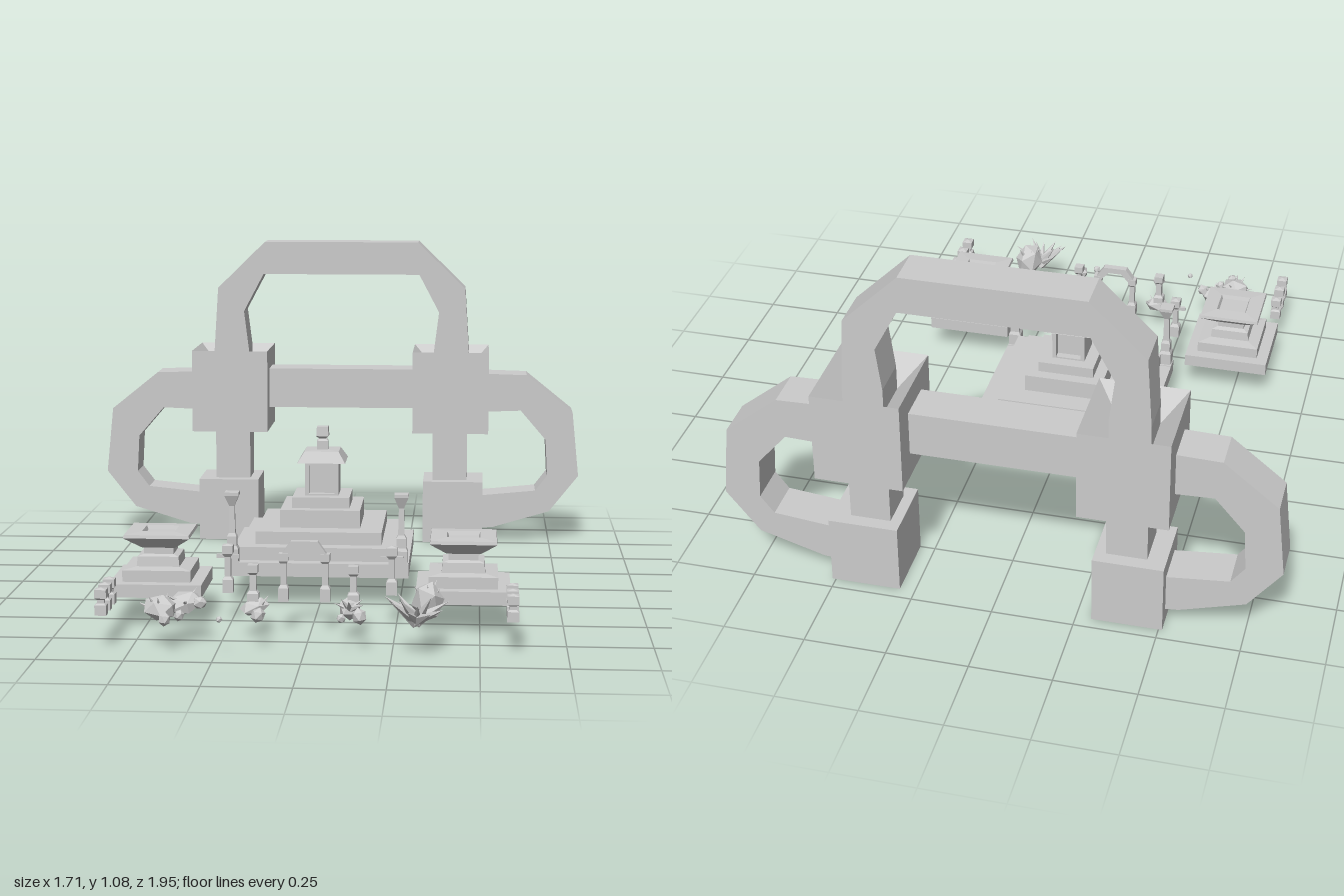
import * as THREE from 'three';

const mat = new THREE.MeshStandardMaterial({ color: 0xcccccc, flatShading: true, side: THREE.DoubleSide });

function add(parent, name, geo, x = 0, y = 0, z = 0) {
  const m = new THREE.Mesh(geo, mat);
  m.name = name;
  m.position.set(x, y, z);
  parent.add(m);
  return m;
}

// Square-plan solid from a profile of [half width, height], bottom to top
function square(profile) {
  const pts = profile.map(([h, y]) => new THREE.Vector2(h * Math.SQRT2, y));
  return new THREE.LatheGeometry(pts, 4, Math.PI / 4);
}

// Flat polygon extruded along z, centred on z = 0
function slab(points, depth, hole) {
  const shape = new THREE.Shape(points.map(p => new THREE.Vector2(...p)));
  if (hole) shape.holes.push(new THREE.Path(hole.map(p => new THREE.Vector2(...p))));
  return new THREE.ExtrudeGeometry(shape, { depth, bevelEnabled: false }).translate(0, 0, -depth / 2);
}

function box(x0, x1, y0, y1, depth) {
  return slab([[x0, y0], [x1, y0], [x1, y1], [x0, y1]], depth);
}

const mirrorX = pts => pts.map(([x, y]) => [-x, y]).reverse();

function randomizer(seed) {
  return () => (seed = (seed * 16807) % 2147483647) / 2147483647;
}

// Great gateway at the back
function gateway() {
  const g = new THREE.Group();
  g.name = 'gateway';
  g.position.z = -0.855;
  const loop = [[0.5, 0.046], [0.55, 0.05], [0.75, 0.11], [0.853, 0.24], [0.83, 0.47], [0.665, 0.603], [0.52, 0.607],
    [0.52, 0.47], [0.645, 0.475], [0.735, 0.37], [0.742, 0.24], [0.7, 0.185], [0.5, 0.165]];
  for (const s of [-1, 1]) {
    add(g, 'foot', square([[0, 0], [0.107, 0], [0.107, 0.22], [0, 0.22]]), s * 0.404, 0, 0);
    add(g, 'leg', box(-0.062, 0.062, 0.2, 0.42, 0.13), s * 0.392);
    // corner block with a sunken, sloping top
    add(g, 'cornerBlock', square([[0, 0.4], [0.135, 0.4], [0.135, 0.69], [0.06, 0.61], [0, 0.61]]), s * 0.394)
      .scale.z = 1.07;
    add(g, 'sideLoop', slab(s > 0 ? loop : mirrorX(loop), 0.13));
  }
  add(g, 'crossBeam', box(-0.27, 0.27, 0.48, 0.62, 0.13));
  const outer = [[0.457, 0.6], [0.457, 0.69], [0.443, 0.91], [0.274, 1.075]];
  const inner = [[0.279, 0.96], [0.35, 0.826], [0.333, 0.69], [0.333, 0.6]];
  add(g, 'topArch', slab([...outer, ...mirrorX(outer), ...mirrorX(inner), ...inner], 0.13));
  return g;
}

// Stepped shrine in the middle
function shrine() {
  const g = new THREE.Group();
  g.name = 'shrine';
  g.position.set(-0.01, 0, -0.01);
  add(g, 'steps', square([[0, 0.09], [0.288, 0.09], [0.288, 0.133], [0.25, 0.133], [0.25, 0.175], [0.2, 0.175],
    [0.2, 0.215], [0.128, 0.215], [0.128, 0.272], [0.092, 0.272], [0.092, 0.307], [0, 0.307]]));
  add(g, 'chamberFrame', slab([[-0.054, 0.3], [0.054, 0.3], [0.054, 0.42], [-0.054, 0.42]], 0.108,
    [[-0.041, 0.312], [-0.041, 0.405], [0.041, 0.405], [0.041, 0.312]]));
  add(g, 'chamberWall', box(-0.045, 0.045, 0.305, 0.41, 0.06));
  add(g, 'roof', square([[0, 0.415], [0.077, 0.415], [0.055, 0.45], [0.018, 0.452], [0.018, 0.48], [0.011, 0.487],
    [0.02, 0.495], [0.018, 0.525], [0, 0.525]]));
  // tall lamps on the front corners
  for (const s of [-1, 1]) {
    add(g, 'cornerLamp', square([[0, 0.13], [0.02, 0.13], [0.02, 0.175], [0.015, 0.185], [0.015, 0.215], [0.01, 0.225],
      [0.008, 0.31], [0.022, 0.345], [0.022, 0.355], [0, 0.355]]), s * 0.265, 0, 0.27);
    add(g, 'lampFoot', square([[0, 0.09], [0.022, 0.09], [0.022, 0.135], [0, 0.135]]), s * 0.265, 0, 0.265);
  }
  return g;
}

// Fire bowl on a stepped pedestal
function fireBowl(x, z) {
  const g = new THREE.Group();
  g.name = 'fireBowl';
  g.position.set(x, 0, z);
  add(g, 'pedestal', square([[0, 0.09], [0.14, 0.09], [0.14, 0.13], [0.103, 0.13], [0.103, 0.165], [0.065, 0.17],
    [0.062, 0.2], [0.045, 0.205], [0.045, 0.228], [0, 0.228]]));
  add(g, 'bowl', square([[0, 0.225], [0.05, 0.225], [0.1, 0.262], [0.098, 0.272], [0.05, 0.275], [0.045, 0.262], [0, 0.262]]));
  return g;
}

// Small freestanding arch
function smallArch() {
  const g = new THREE.Group();
  g.name = 'smallArch';
  g.position.set(-0.02, 0, 0.61);
  for (const s of [-1, 1]) {
    add(g, 'archPost', square([[0, 0.09], [0.015, 0.09], [0.015, 0.13], [0.009, 0.14], [0.009, 0.205], [0.014, 0.212],
      [0.014, 0.235], [0, 0.235]]), s * 0.062);
    const brace = [[0.05, 0.222], [0.075, 0.222], [0.04, 0.272], [0.02, 0.272], [0.02, 0.255]];
    add(g, 'archBrace', slab(s > 0 ? brace : mirrorX(brace), 0.024));
  }
  add(g, 'archTop', box(-0.03, 0.03, 0.252, 0.272, 0.024));
  return g;
}

// Faceted boulder
function boulder(parent, x, y, z, w, h, d, turn) {
  const m = add(parent, 'boulder', new THREE.IcosahedronGeometry(1, 0), x, y, z);
  m.scale.set(w, h, d);
  m.rotation.set(0.2, turn, 0.15);
}

// Fan of pointed crystals; len is the longest spike, lean the widest tilt
function crystals(x, y, z, count, len, lean, seed, heading = 0, sweep = Math.PI * 2) {
  const rnd = randomizer(seed);
  const g = new THREE.Group();
  g.name = 'crystals';
  g.position.set(x, y, z);
  for (let i = 0; i < count; i++) {
    const h = len * (0.65 + 0.35 * rnd());
    const geo = new THREE.ConeGeometry(h * 0.2, h, 5).translate(0, h * 0.45, 0);
    const spike = add(g, 'crystal', geo);
    const a = heading + sweep * ((i + 0.5) / count - 0.5);
    const tilt = lean * (0.45 + 0.55 * rnd());
    const dir = new THREE.Vector3(Math.sin(a) * Math.sin(tilt), Math.cos(tilt), Math.cos(a) * Math.sin(tilt));
    spike.quaternion.setFromUnitVectors(new THREE.Vector3(0, 1, 0), dir);
  }
  return g;
}

function rocks() {
  const g = new THREE.Group();
  g.name = 'rocks';
  // left-hand pile, right-hand pile and loose stones
  const stones = [
    [-0.36, 0.115, 0.76, 0.06, 0.03, 0.055, 0.4], [-0.42, 0.115, 0.83, 0.045, 0.035, 0.055, 1.1],
    [-0.31, 0.12, 0.78, 0.022, 0.02, 0.02, 0.2], [0.35, 0.14, 0.81, 0.05, 0.065, 0.045, 0.7],
    [-0.16, 0.09, 0.69, 0.048, 0.025, 0.036, 0.5], [0.12, 0.09, 0.69, 0.04, 0.035, 0.035, 1.6],
    [-0.135, 0.1, 0.84, 0.025, 0.022, 0.02, 0.9], [0.155, 0.1, 0.835, 0.026, 0.025, 0.022, 2.1],
    [0.105, 0.1, 0.865, 0.014, 0.015, 0.012, 0.3], [-0.24, 0.1, 0.9, 0.01, 0.01, 0.01, 0.6],
    [-0.395, 0.1, 0.91, 0.022, 0.02, 0.018, 1.3], [-0.36, 0.1, 0.86, 0.017, 0.018, 0.015, 0.8]];
  for (const s of stones) boulder(g, ...s);
  g.add(crystals(0.32, 0.1, 0.865, 11, 0.13, 1.35, 11, -0.3, 4));
  g.add(crystals(0.35, 0.13, 0.81, 5, 0.1, 0.8, 23));
  g.add(crystals(-0.42, 0.1, 0.83, 7, 0.075, 1.2, 37));
  g.add(crystals(-0.35, 0.11, 0.77, 5, 0.07, 1.2, 41));
  g.add(crystals(0.12, 0.09, 0.71, 5, 0.08, 1.2, 53, 0, 4));
  g.add(crystals(-0.15, 0.08, 0.69, 4, 0.06, 1.2, 61));
  // short posts standing on the two middle rocks
  for (const x of [-0.165, 0.13]) {
    add(g, 'rockPost', square([[0, 0.09], [0.017, 0.09], [0.017, 0.13], [0.01, 0.138], [0.009, 0.185], [0.015, 0.192],
      [0.015, 0.215], [0, 0.215]]), x, 0, 0.685);
  }
  return g;
}

export function createModel() {
  const model = new THREE.Group();
  model.name = 'ruinedShrine';
  model.add(gateway(), shrine(), fireBowl(-0.47, 0.462), fireBowl(0.45, 0.49), smallArch(), rocks());

  // slim lanterns with crossbars
  for (const x of [-0.26, 0.235]) {
    add(model, 'lantern', square([[0, 0.09], [0.016, 0.09], [0.016, 0.13], [0.009, 0.14], [0.009, 0.2], [0.016, 0.21],
      [0.016, 0.235], [0, 0.24]]), x, 0, 0.505);
    add(model, 'lanternBar', box(-0.034, 0.034, 0.195, 0.207, 0.01), x, 0, 0.505);
  }

  // rows of bollards down both sides
  for (const x of [-0.588, 0.593]) {
    for (const z of [0.7, 0.775, 0.842]) {
      add(model, 'bollard', square([[0, 0.095], [0.017, 0.095], [0.017, 0.125], [0.01, 0.13], [0.01, 0.14],
        [0.017, 0.145], [0.017, 0.17], [0, 0.175]]), x, 0, z);
    }
  }
  return model;
}
